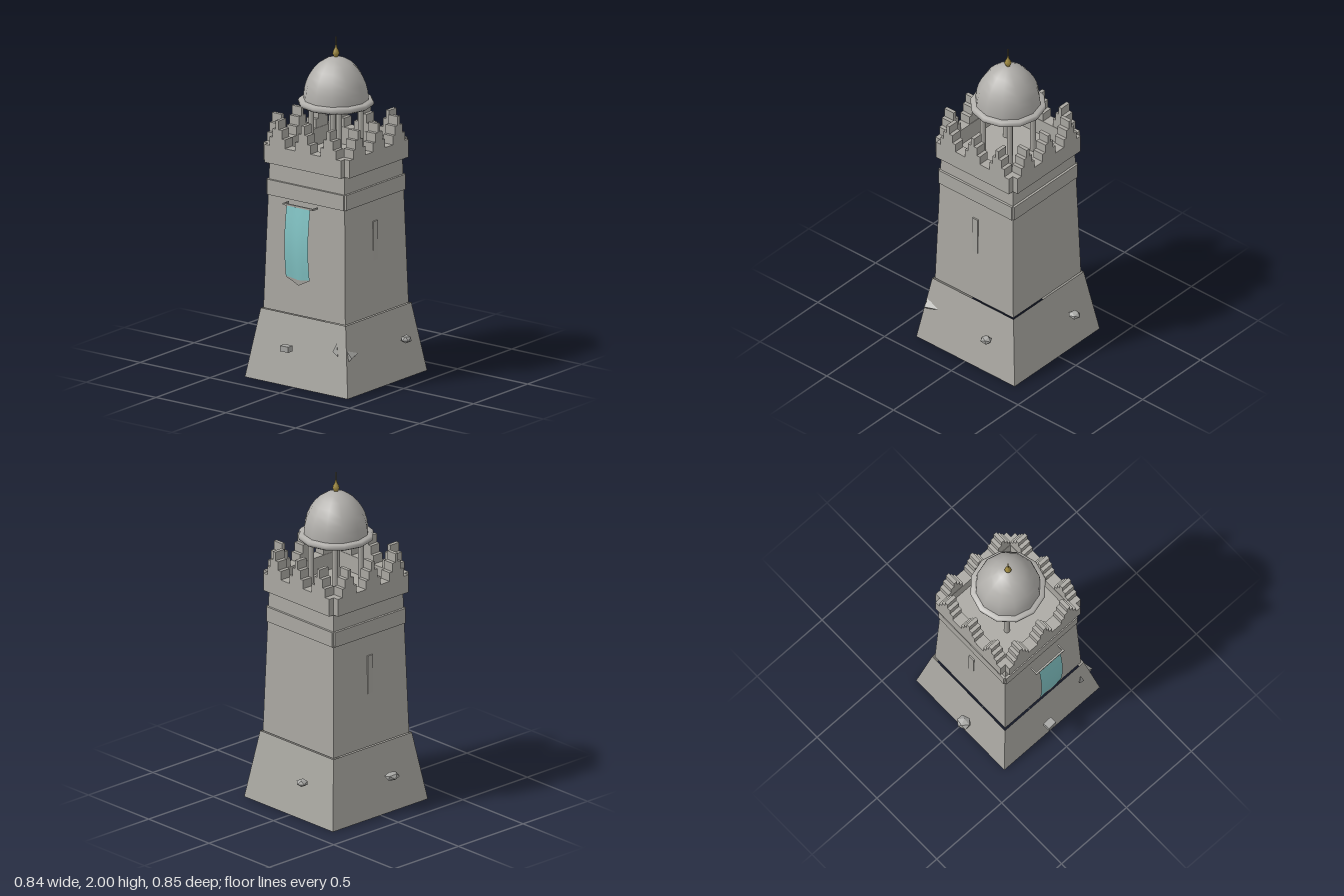
import * as THREE from 'three';
import { ConvexGeometry } from 'three/addons/geometries/ConvexGeometry.js';

export function createModel() {
  const mat = (name, color, side = THREE.FrontSide) => {
    const m = new THREE.MeshStandardMaterial({ color, side });
    m.name = name;
    return m;
  };
  const stone = mat('stone', 0xaaa8a2, THREE.DoubleSide);
  const domeGrey = mat('domeGrey', 0xb0aeaa, THREE.DoubleSide);
  const rubbleGrey = mat('rubbleGrey', 0xa6a6a3);
  const teal = mat('bannerTeal', 0x82c4c5, THREE.DoubleSide);
  const gold = mat('gold', 0xa08a40);

  const model = new THREE.Group();
  model.name = 'watchtower';
  const tower = new THREE.Group();
  tower.name = 'tower';
  tower.position.set(0.013, 0, -0.003);
  model.add(tower);

  const add = (parent, name, geo, material, x = 0, y = 0, z = 0) => {
    const mesh = new THREE.Mesh(geo, material);
    mesh.name = name;
    mesh.position.set(x, y, z);
    parent.add(mesh);
    return mesh;
  };
  const faceted = (geo) => {
    const g = geo.index ? geo.toNonIndexed() : geo;
    g.computeVertexNormals();
    return g;
  };
  // Square tapered block given half widths and heights
  const frustum = (top, bottom, y0, y1, open) =>
    faceted(new THREE.CylinderGeometry(top * Math.SQRT2, bottom * Math.SQRT2, y1 - y0, 4, 1, open)
      .rotateY(Math.PI / 4).translate(0, (y0 + y1) / 2, 0));
  const box = (w, y0, y1, z0, z1, x = 0) =>
    new THREE.BoxGeometry(w, y1 - y0, z1 - z0).translate(x, (y0 + y1) / 2, (z0 + z1) / 2);

  // Walls: flared hollow plinth and tapering shaft
  add(tower, 'plinth', frustum(0.304, 0.368, 0, 0.405, true), stone);
  add(tower, 'shaft', frustum(0.268, 0.293, 0.405, 1.275, false), stone);

  // Band, parapet and stepped merlons, repeated on each side
  for (let side = 0; side < 4; side++) {
    const g = new THREE.Group();
    g.name = 'parapetSide';
    g.rotation.y = side * Math.PI / 2;
    tower.add(g);
    add(g, 'band', box(0.546, 1.075, 1.165, 0.25, 0.285), stone);
    add(g, 'parapetWall', box(0.546, 1.27, 1.376, 0.238, 0.308), stone);
    for (const cx of [-0.183, 0, 0.183]) {
      [0.052, 0.104, 0.156, 0.104, 0.052].forEach((h, i) =>
        add(g, 'merlonStep', box(0.0222, 1.376, 1.376 + h, 0.24, 0.308, cx + (i - 2) * 0.0222), stone));
    }
  }

  // Narrow slits on the two side walls
  for (const s of [-1, 1]) {
    add(tower, 'slitWindow', new THREE.BoxGeometry(0.03, 0.23, 0.04), stone, s * 0.2705, 0.838, 0);
  }

  // Lantern columns
  for (const x of [-0.1, 0.1]) for (const z of [-0.1, 0.1]) {
    add(tower, 'column', new THREE.CylinderGeometry(0.017, 0.017, 0.34, 8), stone, x, 1.435, z);
  }

  // Dome with eaves ring
  const lathe = (pts, n) => new THREE.LatheGeometry(pts.map(([r, y]) => new THREE.Vector2(r, y)), n);
  add(tower, 'eavesRing', lathe([[0.165, 1.6], [0.175, 1.588], [0.198, 1.585], [0.215, 1.595],
    [0.218, 1.61], [0.21, 1.622], [0.184, 1.626]], 12), domeGrey);
  add(tower, 'dome', lathe([[0.187, 1.61], [0.187, 1.64], [0.182, 1.68], [0.172, 1.72], [0.154, 1.76],
    [0.128, 1.8], [0.095, 1.835], [0.055, 1.86], [0.02, 1.872], [0, 1.874]], 12), domeGrey);

  // Finial
  add(tower, 'finialBulb', lathe([[0, 1.865], [0.011, 1.868], [0.013, 1.876], [0.02, 1.89],
    [0.017, 1.905], [0.008, 1.922], [0.004, 1.94], [0, 1.945]], 8), gold);
  add(tower, 'finialSpike', new THREE.CylinderGeometry(0.001, 0.004, 0.07, 6), gold, 0, 1.965, 0);

  // Banner: rod, brackets, bowed cloth and pointed hem
  const banner = new THREE.Group();
  banner.name = 'banner';
  banner.position.x = 0.013;
  model.add(banner);
  add(banner, 'rod', new THREE.BoxGeometry(0.215, 0.01, 0.011), stone, 0, 1.065, 0.346);
  for (const s of [-1, 1]) {
    add(banner, 'rodBracket', new THREE.BoxGeometry(0.008, 0.01, 0.045), stone, s * 0.103, 1.065, 0.325);
  }
  const bowZ = (y) => 0.346 + 0.02 * Math.sin(Math.PI * (1.062 - y) / 0.462);
  const cloth = (y0, y1, edge) => {
    const geo = new THREE.PlaneGeometry(2, 1, 8, 12);
    const p = geo.attributes.position;
    for (let i = 0; i < p.count; i++) {
      const u = p.getX(i), t = p.getY(i) + 0.5;
      const y = THREE.MathUtils.lerp(edge(u, y0), y1(u), t);
      p.setXYZ(i, u * 0.083, y, bowZ(y) + 0.002 * Math.sin(u * 5));
    }
    geo.computeVertexNormals();
    return geo;
  };
  const hemTop = (u) => 0.646 - 0.012 * (1 - Math.abs(u));
  add(banner, 'cloth', cloth(0, () => 1.062, hemTop), teal);
  add(banner, 'hem', cloth(0.6, hemTop, (u, y) => y + 0.042 * Math.abs(u)), stone);

  // Loose rubble around the plinth: position, half size, turn
  const rubble = [
    [-0.385, 0.232, 0.06, 0.041, 0.026, 0.047, 0.4],
    [-0.118, 0.236, -0.388, 0.035, 0.022, 0.038, 1.1],
    [0.39, 0.234, -0.165, 0.033, 0.024, 0.037, 2.0],
  ];
  for (const [x, y, z, sx, sy, sz, turn] of rubble) {
    const geo = new THREE.IcosahedronGeometry(1, 0).rotateY(turn).rotateZ(turn * 0.6).scale(sx, sy, sz);
    add(model, 'rock', faceted(geo), rubbleGrey, x, y, z);
  }
  add(model, 'stoneBlock', new THREE.BoxGeometry(0.057, 0.033, 0.043), rubbleGrey, -0.034, 0.233, 0.397)
    .rotation.y = 0.05;
  const shard = (pts) =>
    add(model, 'shard', new ConvexGeometry(pts.map((p) => new THREE.Vector3(...p))), rubbleGrey);
  shard([[0.35, 0.235, 0.228], [0.337, 0.265, 0.318], [0.372, 0.225, 0.315], [0.34, 0.195, 0.312]]);
  shard([[0.272, 0.3, 0.325], [0.25, 0.25, 0.336], [0.288, 0.225, 0.336], [0.27, 0.24, 0.31]]);

  return model;
}
